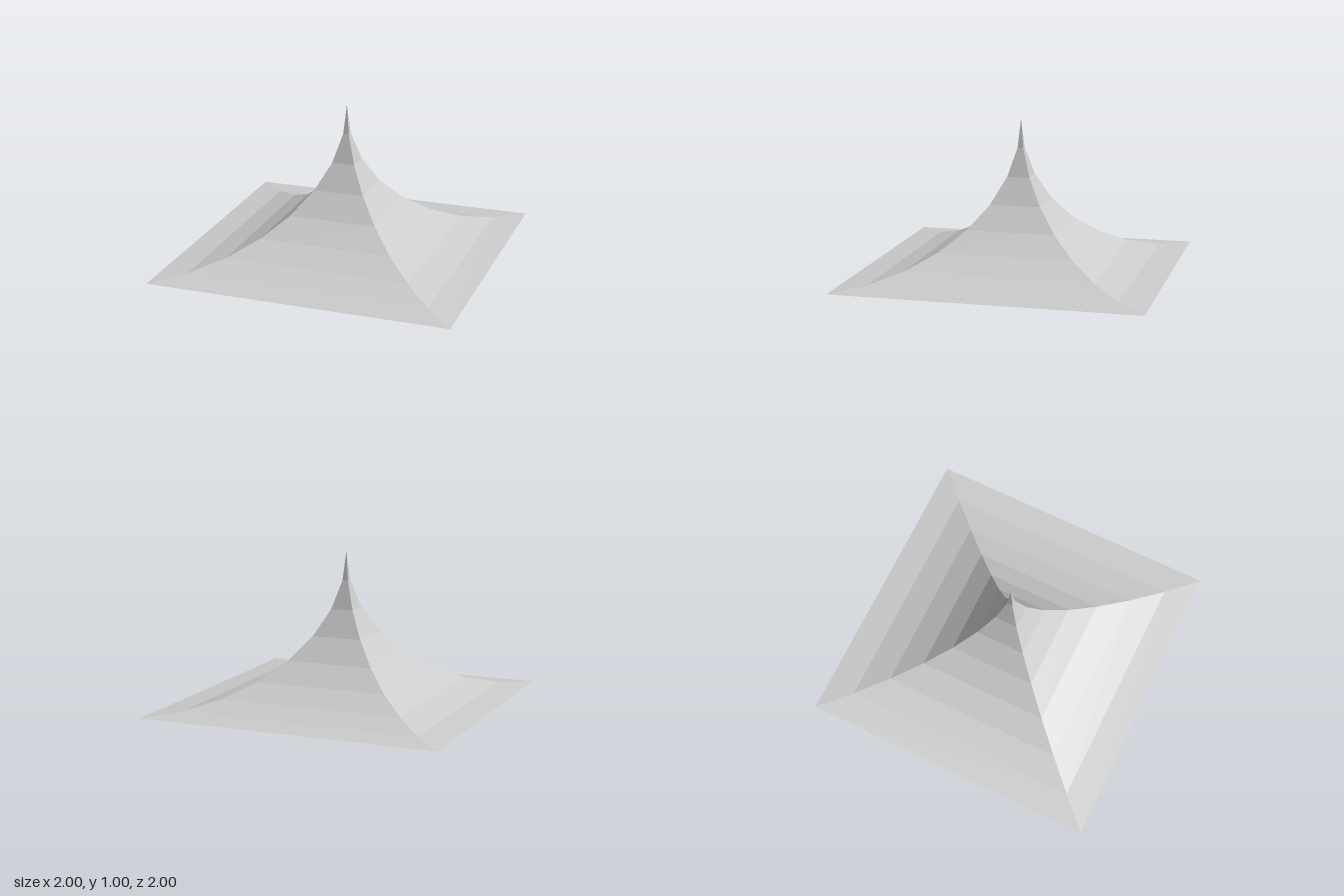
import * as THREE from 'three';

const STEPS = 8; // facets along the curved slope

export function createModel() {
  const group = new THREE.Group();
  const lightGrey = new THREE.MeshStandardMaterial({ color: 0xcccccc, flatShading: true });
  lightGrey.name = 'lightGrey';

  // Four-sided cone with a base, its straight slope bent into a concave quarter circle
  const cone = new THREE.ConeGeometry(Math.SQRT2, 1, 4, STEPS, false, Math.PI / 4);
  const pos = cone.attributes.position;
  for (let i = 0; i < pos.count; i++) {
    const u = pos.getY(i) + 0.5;
    const angle = (u * Math.PI) / 2;
    const scale = u > 0.999 ? 0 : (1 - Math.sin(angle)) / (1 - u);
    pos.setXYZ(i, pos.getX(i) * scale, 1 - Math.cos(angle), pos.getZ(i) * scale);
  }
  const geometry = cone.toNonIndexed();
  geometry.clearGroups();
  geometry.computeVertexNormals();

  const roof = new THREE.Mesh(geometry, lightGrey);
  roof.name = 'concavePyramidRoof';
  group.add(roof);
  return group;
}
